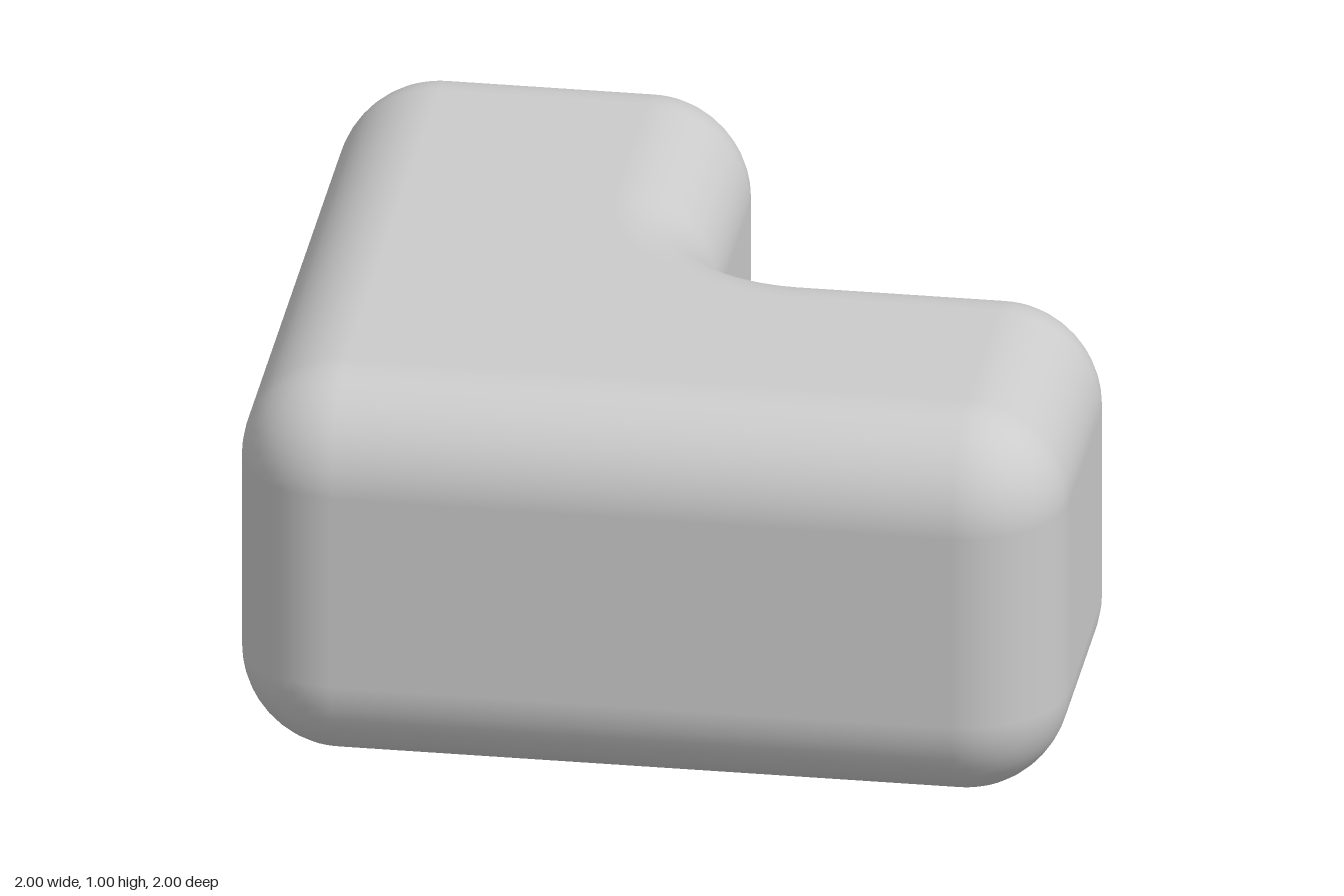
import * as THREE from 'three';

const R = 0.25; // rounding radius of every edge
const SEG = 12; // segments per quarter turn
const HEIGHT = 1;

// Corners of the L seen from above, counter-clockwise (v = -z):
// arc centre, start angle in quarter turns, and turn (+1 outer, -1 inner corner)
const CORNERS = [
  [-0.75, -0.75, 2, 1],
  [0.75, -0.75, 3, 1],
  [0.75, -0.25, 0, 1],
  [0.25, 0.25, 3, -1],
  [-0.25, 0.75, 0, 1],
  [-0.75, 0.75, 1, 1],
];

function roundedLGeometry() {
  const positions = [], normals = [], index = [];
  const n = CORNERS.length * (SEG + 1);

  // One L-shaped ring at a height, shrunk inwards by inset; tilt turns its normals up or down
  const addRing = (inset, y, tilt) => {
    for (const [cu, cv, start, turn] of CORNERS) {
      for (let k = 0; k <= SEG; k++) {
        const a = (start + turn * k / SEG) * Math.PI / 2;
        const radius = R - turn * inset;
        positions.push(cu + radius * Math.cos(a), y, -(cv + radius * Math.sin(a)));
        normals.push(turn * Math.cos(a) * Math.cos(tilt), Math.sin(tilt), -turn * Math.sin(a) * Math.cos(tilt));
      }
    }
  };

  // Rounded bottom edge, upright wall, rounded top edge
  for (const [side, base] of [[0, R], [1, HEIGHT - R]]) {
    for (let k = 0; k <= SEG; k++) {
      const tilt = (side - 1 + k / SEG) * Math.PI / 2;
      addRing(R * (1 - Math.cos(tilt)), base + R * Math.sin(tilt), tilt);
    }
  }
  const rings = 2 * (SEG + 1);
  for (let i = 0; i < rings - 1; i++) {
    for (let j = 0; j < n; j++) {
      const a = i * n + j, b = i * n + (j + 1) % n;
      index.push(a, b, b + n, a, b + n, a + n);
    }
  }

  // Flat caps: outer corners shrink to one point there, the inner corner keeps its arc
  const capIds = [];
  CORNERS.forEach((corner, c) => {
    const count = corner[3] > 0 ? 1 : SEG + 1;
    for (let k = 0; k < count; k++) capIds.push(c * (SEG + 1) + k);
  });
  const top = (rings - 1) * n;
  const contour = capIds.map((id) => new THREE.Vector2(positions[(top + id) * 3], -positions[(top + id) * 3 + 2]));
  for (const face of THREE.ShapeUtils.triangulateShape(contour, [])) {
    const [a, b, c] = face.map((f) => capIds[f]);
    index.push(top + a, top + b, top + c, a, c, b);
  }

  const geometry = new THREE.BufferGeometry();
  geometry.setAttribute('position', new THREE.Float32BufferAttribute(positions, 3));
  geometry.setAttribute('normal', new THREE.Float32BufferAttribute(normals, 3));
  geometry.setIndex(index);
  return geometry;
}

export function createModel() {
  const group = new THREE.Group();
  group.name = 'roundedLBlock';
  const body = new THREE.Mesh(roundedLGeometry(), new THREE.MeshStandardMaterial({ color: 0xcccccc }));
  body.name = 'body';
  group.add(body);
  return group;
}
